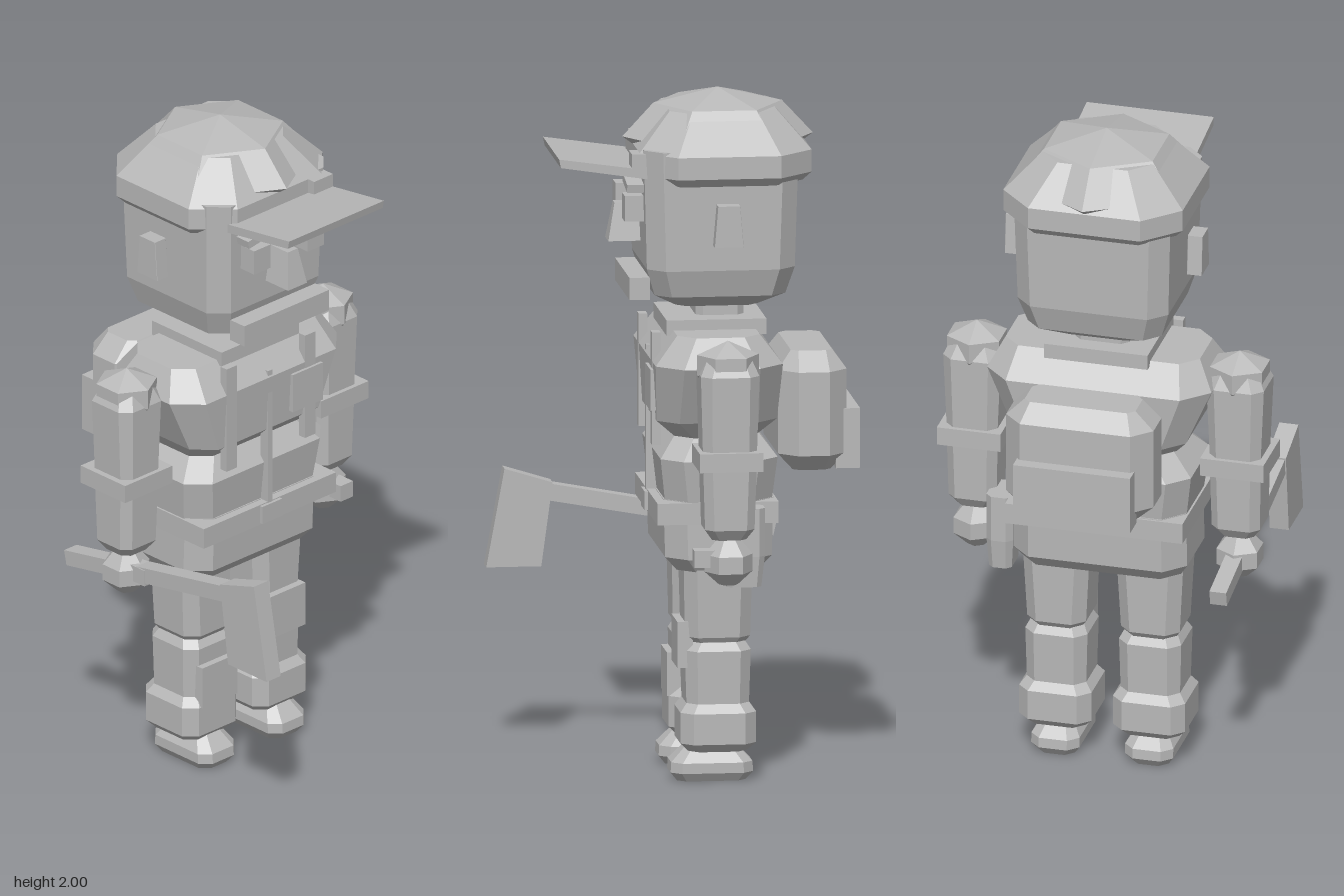
import * as THREE from 'three';

const grey = new THREE.MeshStandardMaterial({ color: 0xb8b8b8, flatShading: true });
grey.name = 'plain grey';

// Outline of a rectangle with cut corners, as [x, z] pairs
function octagon(hx, hz, c) {
  return [[hx - c, hz], [hx, hz - c], [hx, c - hz], [hx - c, -hz],
    [c - hx, -hz], [-hx, c - hz], [-hx, hz - c], [c - hx, hz]];
}

// Outline of a hexagon with a corner facing forwards
function hexagon(r) {
  return Array.from({ length: 6 }, (_, i) => [r * Math.sin(i * Math.PI / 3), r * Math.cos(i * Math.PI / 3)]);
}

// Closed solid through stacked outlines: levels = [[y, outline], ...] from bottom to top
function loft(levels) {
  const pos = [];
  const n = levels[0][1].length;
  const at = (l, i) => { const p = levels[l][1][i % n]; return [p[0], levels[l][0], p[1]]; };
  const last = levels.length - 1;
  for (let i = 0; i < n; i++) {
    for (let l = 0; l < last; l++) {
      const a = at(l, i), b = at(l, i + 1), c = at(l + 1, i + 1), d = at(l + 1, i);
      pos.push(...a, ...b, ...c, ...a, ...c, ...d);
    }
    pos.push(0, levels[0][0], 0, ...at(0, i + 1), ...at(0, i));
    pos.push(0, levels[last][0], 0, ...at(last, i), ...at(last, i + 1));
  }
  const g = new THREE.BufferGeometry();
  g.setAttribute('position', new THREE.Float32BufferAttribute(pos, 3));
  g.computeVertexNormals();
  return g;
}

const block = rows => loft(rows.map(([y, hx, hz, c]) => [y, octagon(hx, hz, c)]));
const hexBlock = rows => loft(rows.map(([y, r]) => [y, hexagon(r)]));

// Side profile of [z, y] points, given a width along x
function sidePlate(points, width) {
  const g = new THREE.ExtrudeGeometry(new THREE.Shape(points.map(p => new THREE.Vector2(...p))),
    { depth: width, bevelEnabled: false });
  return g.rotateY(-Math.PI / 2).translate(width / 2, 0, 0);
}

export function createModel() {
  const model = new THREE.Group();

  function add(name, geometry, x = 0, z = 0, parent = model) {
    const mesh = new THREE.Mesh(geometry, grey);
    mesh.name = name;
    mesh.position.set(x, 0, z);
    parent.add(mesh);
    return mesh;
  }
  // Box given by its limits on each axis
  function box(name, x0, x1, y0, y1, z0, z1) {
    const g = new THREE.BoxGeometry(x1 - x0, y1 - y0, z1 - z0);
    return add(name, g.translate((x0 + x1) / 2, (y0 + y1) / 2, (z0 + z1) / 2));
  }

  // Head and neck
  add('head', block([[1.378, 0.11, 0.12, 0.03], [1.42, 0.2, 0.19, 0.045],
    [1.5, 0.225, 0.215, 0.05], [1.85, 0.235, 0.225, 0.05]]), 0, -0.105);
  add('neck', block([[1.3, 0.08, 0.07, 0.02], [1.42, 0.08, 0.07, 0.02]]), 0, -0.115);
  box('collar', -0.155, 0.155, 1.3, 1.345, -0.24, 0.05);

  // Face
  add('nose', loft([[1.56, [[0.038, 0.205], [0.038, 0.11], [-0.038, 0.11], [-0.038, 0.205]]],
    [1.67, [[0.02, 0.185], [0.02, 0.11], [-0.02, 0.11], [-0.02, 0.185]]]]));
  box('mouthPlate', -0.17, 0.17, 1.41, 1.475, 0.1, 0.16);
  for (const s of [-1, 1]) {
    box('eye', s * 0.107 - 0.033, s * 0.107 + 0.033, 1.635, 1.71, 0.11, 0.17);
    const brow = add('eyebrow', new THREE.BoxGeometry(0.11, 0.024, 0.05), s * 0.103, 0.14);
    brow.position.y = 1.742;
    brow.rotation.z = -s * 0.16;
    add('ear', loft([[1.58, octagon(0.022, 0.042, 0.001)], [1.7, octagon(0.022, 0.032, 0.001)]]), s * 0.272, -0.115);
  }

  // Cap
  add('capBand', block([[1.75, 0.245, 0.225, 0.09], [1.775, 0.268, 0.25, 0.1],
    [1.84, 0.268, 0.25, 0.1], [1.95, 0.165, 0.155, 0.06]]), 0, -0.12);
  add('capCrown', hexBlock([[1.84, 0.25], [1.86, 0.277], [1.957, 0.187], [2, 0.001]]), 0, -0.117);
  add('capVisor', sidePlate([[0.1, 1.765], [0.362, 1.805], [0.367, 1.83], [0.1, 1.792]], 0.38));
  box('capBadge', 0.115, 0.19, 1.78, 1.84, 0.1, 0.155);

  // Torso
  add('chest', block([[1.01, 0.22, 0.12, 0.05], [1.06, 0.26, 0.175, 0.06],
    [1.23, 0.335, 0.185, 0.075], [1.315, 0.29, 0.12, 0.05]]), 0, -0.09);
  add('belly', block([[0.82, 0.258, 0.155, 0.06], [0.95, 0.275, 0.17, 0.06],
    [1.015, 0.21, 0.12, 0.05]]), 0, -0.095);
  add('hips', block([[0.62, 0.235, 0.12, 0.05], [0.66, 0.26, 0.155, 0.06],
    [0.83, 0.258, 0.16, 0.06]]), 0, -0.095);
  box('belt', -0.265, 0.265, 0.765, 0.828, -0.262, 0.09);
  box('buckle', -0.04, 0.04, 0.77, 0.825, 0.08, 0.1);
  box('zip', -0.009, 0.009, 0.8, 1.25, 0.06, 0.092);
  for (const s of [-1, 1]) box('strap', s * 0.157 - 0.021, s * 0.157 + 0.021, 0.985, 1.315, 0.07, 0.095);
  box('chestPocket', 0.08, 0.2, 1.09, 1.21, 0.07, 0.103);
  add('holster', block([[0.59, 0.034, 0.05, 0.015], [0.68, 0.04, 0.06, 0.018],
    [0.82, 0.04, 0.06, 0.018]]), 0.298, -0.155);

  // Backpack
  add('backpack', block([[0.9, 0.165, 0.055, 0.02], [0.95, 0.22, 0.1, 0.055],
    [1.195, 0.22, 0.1, 0.055], [1.25, 0.165, 0.06, 0.02]]), 0, -0.372);
  box('packPocket', -0.175, 0.175, 0.905, 1.08, -0.51, -0.44);

  // Limbs
  for (const s of [-1, 1]) {
    const arm = new THREE.Group();
    arm.name = s > 0 ? 'leftArm' : 'rightArm';
    arm.position.set(s * 0.393, 0, -0.098);
    model.add(arm);
    add('shoulder', hexBlock([[1.2, 0.07], [1.225, 0.09], [1.285, 0.09], [1.325, 0.001]]), 0, 0, arm);
    add('upperArm', block([[0.98, 0.075, 0.078, 0.025], [1.23, 0.086, 0.085, 0.03], [1.275, 0.065, 0.065, 0.025]]), 0, 0, arm);
    add('armBand', new THREE.BoxGeometry(0.19, 0.055, 0.185).translate(0, 0.983, 0), 0, 0, arm);
    add('forearm', block([[0.748, 0.05, 0.05, 0.02], [0.78, 0.072, 0.072, 0.025], [0.97, 0.076, 0.078, 0.025]]), 0, 0, arm);
    add('hand', hexBlock([[0.612, 0.028], [0.65, 0.07], [0.7, 0.07], [0.75, 0.028]]), 0, -0.002, arm);
    add('thumb', new THREE.BoxGeometry(0.05, 0.05, 0.06).translate(0, 0.69, 0.07), 0, 0, arm);

    const leg = new THREE.Group();
    leg.name = s > 0 ? 'leftLeg' : 'rightLeg';
    leg.position.set(s * 0.14, 0, -0.093);
    model.add(leg);
    add('thigh', block([[0.405, 0.075, 0.08, 0.03], [0.425, 0.088, 0.095, 0.035], [0.65, 0.1, 0.1, 0.035]]), 0, 0, leg);
    add('shin', block([[0.2, 0.088, 0.09, 0.03], [0.385, 0.093, 0.096, 0.033], [0.41, 0.08, 0.08, 0.03]]), 0, 0, leg);
    add('bootCuff', block([[0.09, 0.085, 0.085, 0.03], [0.115, 0.108, 0.11, 0.035],
      [0.205, 0.108, 0.11, 0.035], [0.232, 0.088, 0.09, 0.03]]), 0, 0, leg);
    add('foot', block([[0, 0.055, 0.1, 0.025], [0.025, 0.072, 0.12, 0.03],
      [0.055, 0.072, 0.118, 0.03], [0.1, 0.045, 0.075, 0.02]]), 0, 0.015, leg);
  }
  box('leftKneePad', 0.065, 0.205, 0.335, 0.47, -0.02, 0.025);
  box('rightKneePad', -0.205, -0.065, 0.205, 0.333, -0.02, 0.022);

  // Hatchet in the right hand
  const hatchet = new THREE.Group();
  hatchet.name = 'hatchet';
  model.add(hatchet);
  add('hatchetHandle', sidePlate([[-0.325, 0.615], [0.335, 0.733], [0.33, 0.782], [-0.335, 0.66]], 0.05), -0.39, 0, hatchet);
  add('hatchetHead', sidePlate([[0.35, 0.54], [0.51, 0.54], [0.457, 0.828], [0.317, 0.785]], 0.057), -0.39, 0, hatchet);

  return model;
}
